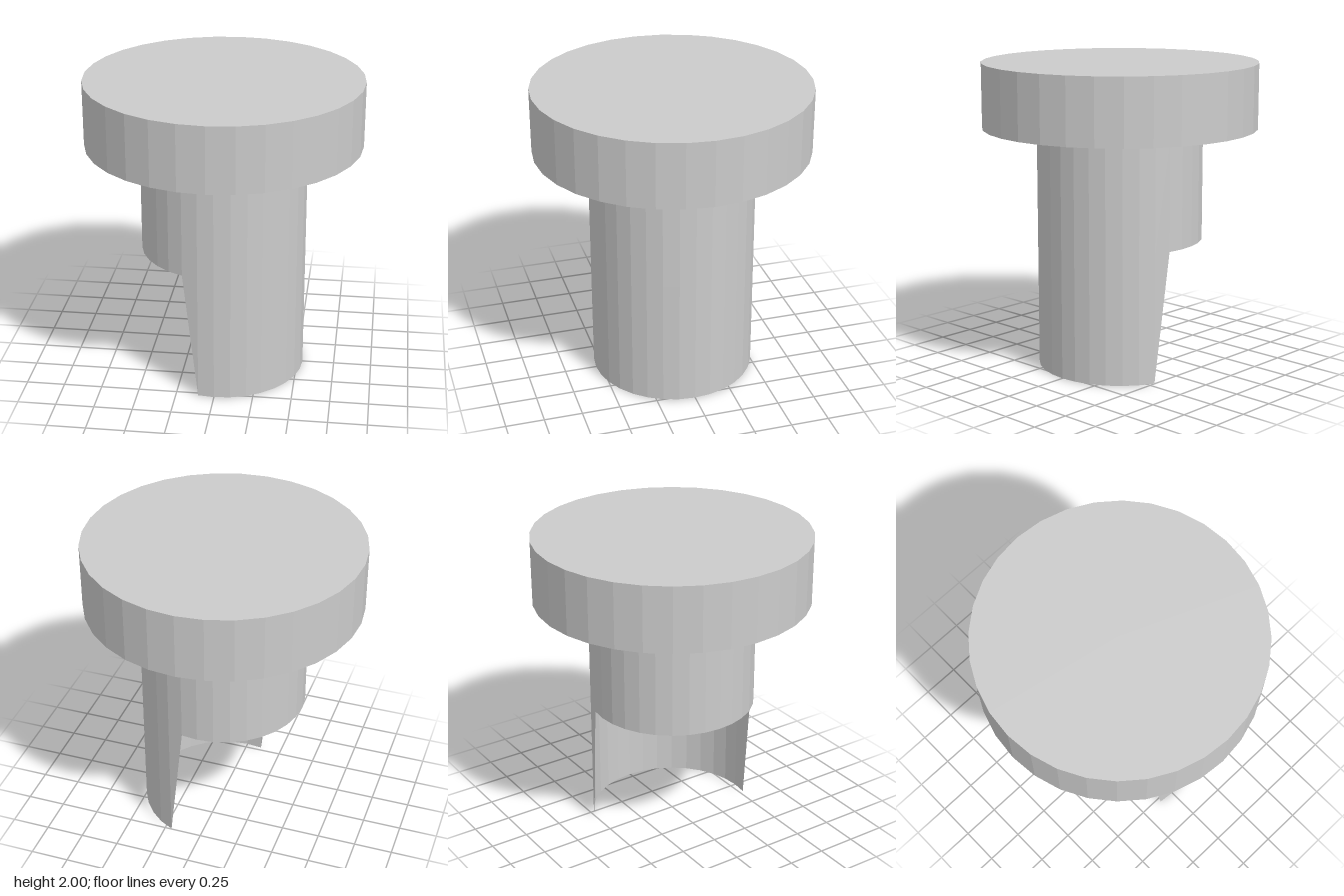
import * as THREE from 'three';

const SIDES = 32;
const STEP = (Math.PI * 2) / SIDES;
const STEM_RADIUS = 0.538;
const STEM_BOTTOM = 0.848;
const HEAD_BOTTOM = 1.57;

function material(side = THREE.FrontSide) {
  return new THREE.MeshStandardMaterial({ color: 0xcccccc, flatShading: true, side });
}

function addPart(group, name, geometry, mat) {
  const mesh = new THREE.Mesh(geometry, mat);
  mesh.name = name;
  group.add(mesh);
}

// Thin curved skirt whose two side edges each taper inward by one facet
function skirtGeometry() {
  const columns = 17;
  const geometry = new THREE.CylinderGeometry(
    STEM_RADIUS, STEM_RADIUS, STEM_BOTTOM, columns, 1, true, -2 * STEP, columns * STEP);
  geometry.translate(0, STEM_BOTTOM / 2, 0);
  const pos = geometry.attributes.position;
  const bottomRow = columns + 1;
  const moveOnto = (from, to) => pos.setXYZ(from, pos.getX(to), pos.getY(to), pos.getZ(to));
  moveOnto(bottomRow, bottomRow + 1);
  moveOnto(bottomRow + columns, bottomRow + columns - 1);
  return geometry;
}

export function createModel() {
  const group = new THREE.Group();
  group.name = 'cutawayPlug';

  // Wide disc head with a very slightly sloped underside
  const headProfile = [
    [STEM_RADIUS - 0.02, HEAD_BOTTOM], [0.89, 1.578], [0.89, 2], [0, 2],
  ].map(([r, y]) => new THREE.Vector2(r, y));
  addPart(group, 'head', new THREE.LatheGeometry(headProfile, SIDES), material());

  // Solid upper stem with a closed bottom
  const stemHeight = HEAD_BOTTOM + 0.005 - STEM_BOTTOM;
  const stem = new THREE.CylinderGeometry(STEM_RADIUS, STEM_RADIUS, stemHeight, SIDES);
  stem.translate(0, STEM_BOTTOM + stemHeight / 2, 0);
  addPart(group, 'stem', stem, material());

  // Open half-round skirt below the stem
  addPart(group, 'skirt', skirtGeometry(), material(THREE.DoubleSide));

  return group;
}
